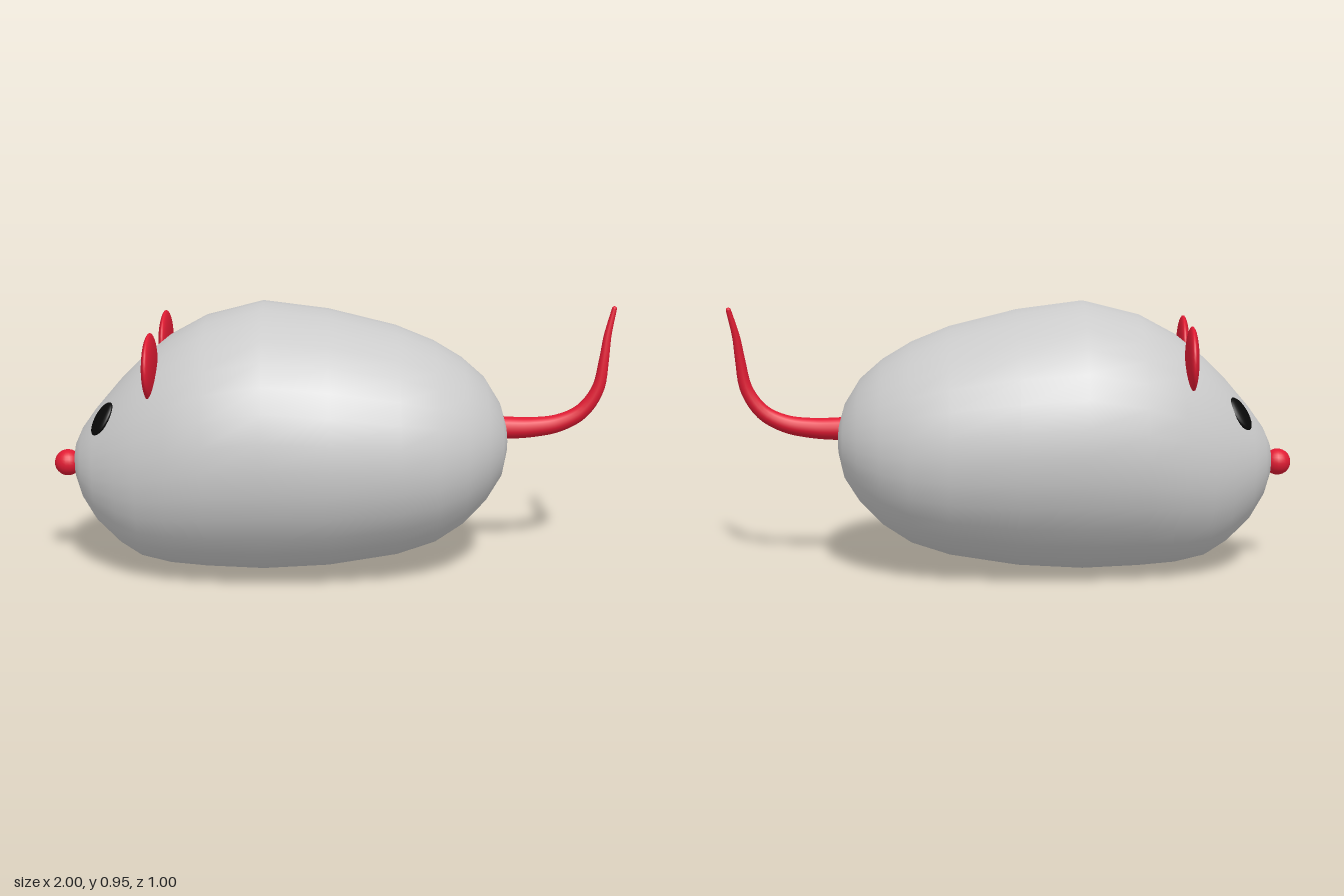
import * as THREE from 'three';
import { mergeVertices } from 'three/addons/utils/BufferGeometryUtils.js';

const grey = new THREE.MeshStandardMaterial({ color: 0xcccccc });
const red = new THREE.MeshStandardMaterial({ color: 0xe01b33 });
const black = new THREE.MeshStandardMaterial({ color: 0x080808 });

function part(name, geometry, material, parent) {
  const mesh = new THREE.Mesh(geometry, material);
  mesh.name = name;
  parent.add(mesh);
  return mesh;
}

// Body stations from nose to rump: x, top y, bottom y, half width
const STATIONS = [
  [-0.93, 0.40, 0.40, 0], [-0.92, 0.45, 0.32, 0.07], [-0.895, 0.505, 0.25, 0.135],
  [-0.845, 0.575, 0.17, 0.205], [-0.76, 0.675, 0.09, 0.29], [-0.685, 0.75, 0.043, 0.345],
  [-0.58, 0.835, 0.02, 0.41], [-0.45, 0.905, 0.01, 0.46], [-0.25, 0.955, 0.002, 0.495],
  [-0.02, 0.925, 0.015, 0.49], [0.22, 0.865, 0.053, 0.455], [0.355, 0.81, 0.096, 0.405],
  [0.455, 0.75, 0.16, 0.345], [0.535, 0.68, 0.24, 0.265], [0.59, 0.59, 0.325, 0.175],
  [0.61, 0.52, 0.405, 0.09], [0.617, 0.465, 0.465, 0],
];

// Elliptical rings lofted along x
function bodyGeometry(sides = 32) {
  const pos = [], index = [];
  STATIONS.forEach(([x, top, bottom, half]) => {
    for (let j = 0; j < sides; j++) {
      const a = (j / sides) * Math.PI * 2;
      pos.push(x, (top + bottom) / 2 + ((top - bottom) / 2) * Math.cos(a), half * Math.sin(a));
    }
  });
  for (let i = 0; i < STATIONS.length - 1; i++) {
    for (let j = 0; j < sides; j++) {
      const a = i * sides + j, b = i * sides + ((j + 1) % sides);
      index.push(a, b, a + sides, b, b + sides, a + sides);
    }
  }
  let g = new THREE.BufferGeometry();
  g.setAttribute('position', new THREE.Float32BufferAttribute(pos, 3));
  g.setIndex(index);
  g = mergeVertices(g);
  g.computeVertexNormals();
  return g;
}

// Tube narrowed ring by ring from radius r0 to r1
function taperedTube(points, r0, r1, steps = 32, sides = 14) {
  const curve = new THREE.CatmullRomCurve3(points.map((p) => new THREE.Vector3(...p)));
  const g = new THREE.TubeGeometry(curve, steps, 1, sides);
  const p = g.attributes.position, v = new THREE.Vector3();
  for (let i = 0; i <= steps; i++) {
    const c = curve.getPointAt(i / steps);
    const r = THREE.MathUtils.lerp(r0, r1, i / steps);
    for (let j = 0; j <= sides; j++) {
      const k = i * (sides + 1) + j;
      v.fromBufferAttribute(p, k).sub(c).multiplyScalar(r).add(c);
      p.setXYZ(k, v.x, v.y, v.z);
    }
  }
  return g;
}

export function createModel() {
  const mouse = new THREE.Group();
  mouse.name = 'toyMouse';

  // Egg-shaped body, turned very slightly
  part('body', bodyGeometry(), grey, mouse).rotation.y = 0.05;

  part('nose', new THREE.SphereGeometry(0.047, 20, 14), red, mouse).position.set(-0.953, 0.375, 0.045);

  for (const side of [-1, 1]) {
    const label = side < 0 ? 'left' : 'right';

    // Thin upright ear discs half sunk into the head
    const ear = part(label + 'Ear', new THREE.SphereGeometry(1, 24, 16), red, mouse);
    ear.scale.set(0.023, 0.115, 0.13);
    ear.position.set(-0.623, 0.768, 0.015 + side * 0.215);

    // Flat oval eyes lying on the slope of the face
    const eye = part(label + 'Eye', new THREE.SphereGeometry(1, 24, 16), black, mouse);
    const normal = new THREE.Vector3(-1.0, 0.77, side * 0.64).normalize();
    const up = new THREE.Vector3(0, 1, 0).addScaledVector(normal, -normal.y).normalize();
    const across = new THREE.Vector3().crossVectors(up, normal);
    eye.quaternion.setFromRotationMatrix(new THREE.Matrix4().makeBasis(across, up, normal));
    eye.scale.set(0.044, 0.064, 0.016);
    eye.position.set(-0.8, 0.573, 0.03 + side * 0.16);
  }

  // Tail sweeping back and curling upward, with a rounded tip
  const path = [
    [0.59, 0.5, -0.028], [0.7, 0.502, -0.03], [0.8, 0.518, -0.034], [0.88, 0.56, -0.038],
    [0.935, 0.64, -0.042], [0.955, 0.75, -0.05], [0.965, 0.83, -0.06], [0.987, 0.925, -0.075],
  ];
  part('tail', taperedTube(path, 0.042, 0.009), red, mouse);
  part('tailTip', new THREE.SphereGeometry(0.009, 12, 8), red, mouse).position.set(...path[path.length - 1]);

  return mouse;
}
